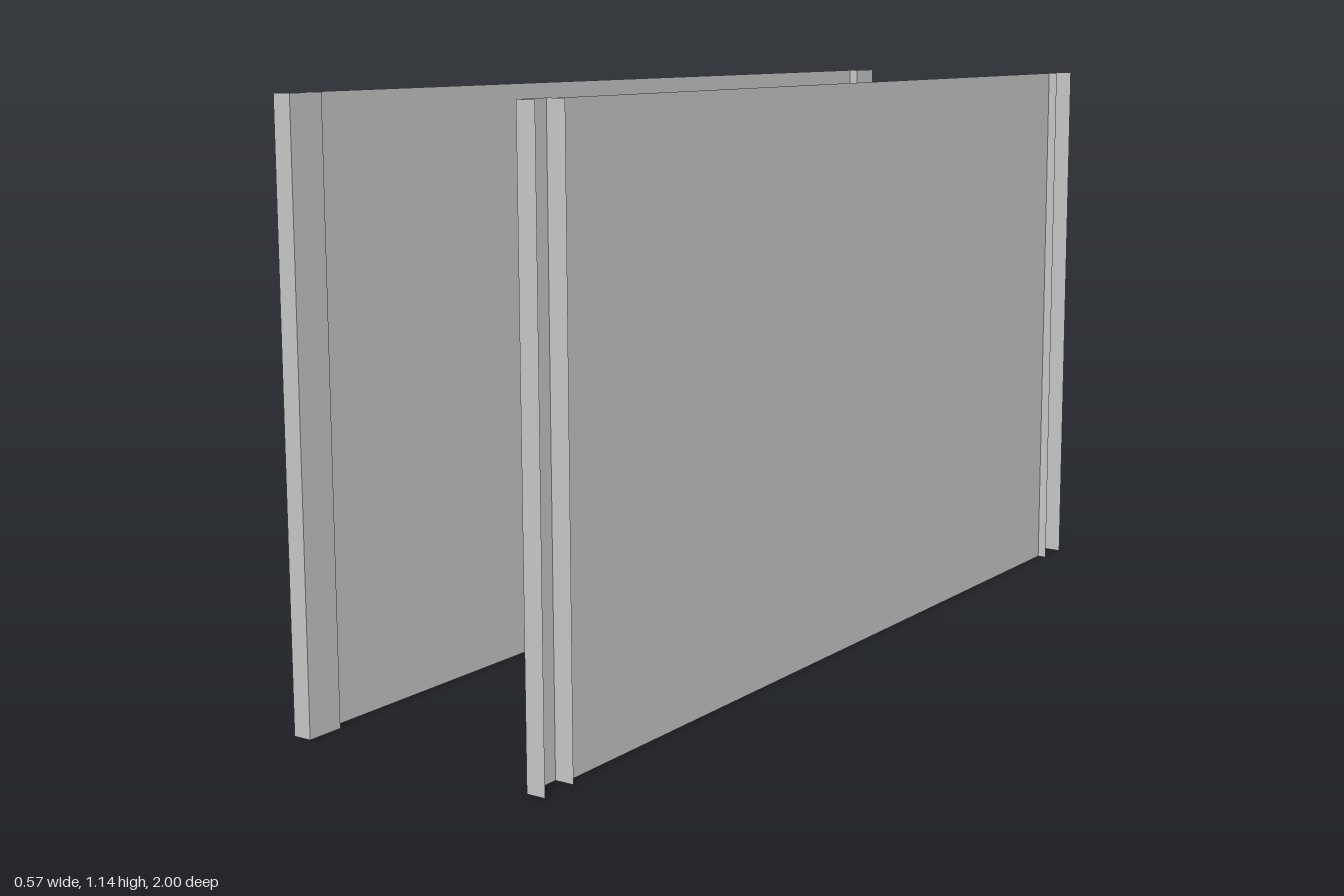
import * as THREE from 'three';

const HEIGHT = 1.144;
const INNER = 0.246, MIDDLE = 0.265, OUTER = 0.284; // distances from the centre plane
const END = 1, LIP = 0.923; // distances along the length

const material = new THREE.MeshStandardMaterial({
  color: 0xcccccc, flatShading: true, side: THREE.DoubleSide,
});

// Upright thin sheet standing on the ground between two plan points [x, z]
function sheet(name, [x0, z0], [x1, z1]) {
  const dx = x1 - x0, dz = z1 - z0;
  const mesh = new THREE.Mesh(new THREE.PlaneGeometry(Math.hypot(dx, dz), HEIGHT), material);
  mesh.name = name;
  mesh.position.set((x0 + x1) / 2, HEIGHT / 2, (z0 + z1) / 2);
  mesh.rotation.y = Math.atan2(-dz, dx);
  return mesh;
}

export function createModel() {
  const model = new THREE.Group();
  model.name = 'sidePanels';
  for (const sx of [1, -1]) {
    const side = new THREE.Group();
    side.name = sx > 0 ? 'leftSide' : 'rightSide';
    // Flat panel held at the middle of the channel lips
    side.add(sheet('panel', [sx * MIDDLE, -LIP], [sx * MIDDLE, LIP]));

    // Channel at each end, open to the outside
    for (const sz of [1, -1]) {
      const channel = new THREE.Group();
      channel.name = sz > 0 ? 'frontChannel' : 'backChannel';
      channel.add(
        sheet('endFlange', [sx * INNER, sz * END], [sx * OUTER, sz * END]),
        sheet('web', [sx * INNER, sz * LIP], [sx * INNER, sz * END]),
        sheet('panelFlange', [sx * INNER, sz * LIP], [sx * OUTER, sz * LIP]),
      );
      side.add(channel);
    }
    model.add(side);
  }
  return model;
}
